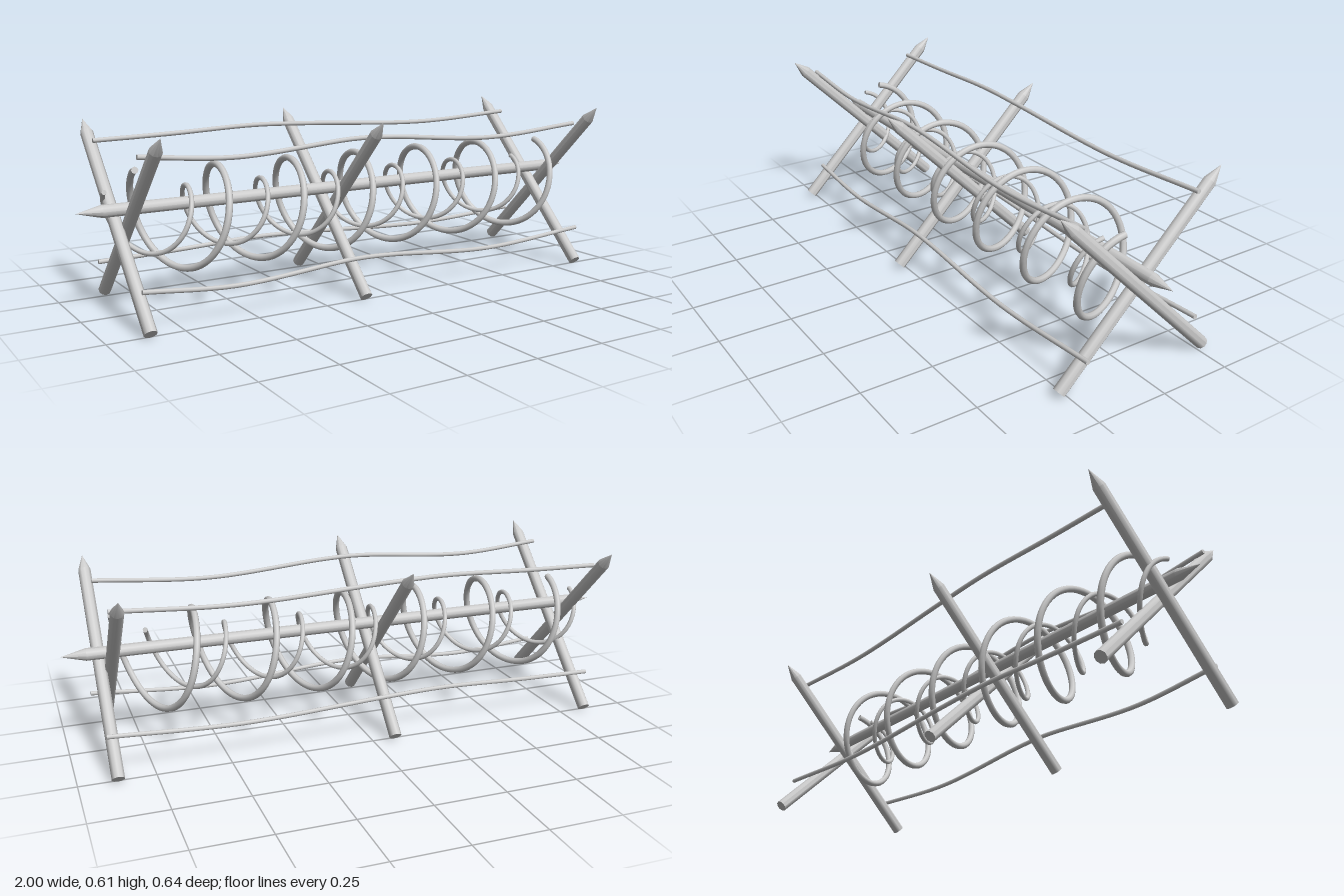
import * as THREE from 'three';
import { toCreasedNormals } from 'three/addons/utils/BufferGeometryUtils.js';

const material = new THREE.MeshStandardMaterial({ color: 0xcccccc });

function addMesh(parent, name, geometry) {
  const mesh = new THREE.Mesh(geometry, material);
  mesh.name = name;
  parent.add(mesh);
  return mesh;
}

// Round stake along +y from the origin, sharpened at one or both ends
function stakeGeometry(length, radius, tip, bothEnds) {
  const profile = [
    [0, 0], [radius, bothEnds ? tip : 0], [radius, length - tip], [0, length],
  ].map(([r, y]) => new THREE.Vector2(r, y));
  return toCreasedNormals(new THREE.LatheGeometry(profile, 10), 0.65);
}

// Tube along a curve with closed ends
function addCappedTube(parent, name, curve, segments, radius, sides) {
  const group = new THREE.Group();
  group.name = name;
  parent.add(group);
  addMesh(group, name + 'Tube', new THREE.TubeGeometry(curve, segments, radius, sides));
  for (const t of [0, 1]) {
    const cap = addMesh(group, name + 'End', new THREE.CircleGeometry(radius, sides));
    const outward = curve.getTangentAt(t).multiplyScalar(t ? 1 : -1);
    cap.position.copy(curve.getPointAt(t));
    cap.quaternion.setFromUnitVectors(new THREE.Vector3(0, 0, 1), outward);
  }
}

// Coil around the x axis, its loops leaning so the tops look pointed
class CoilCurve extends THREE.Curve {
  constructor(startX, radius) {
    super();
    this.startX = startX;
    this.radius = radius;
    this.arcLengthDivisions = 600;
  }
  getPoint(t, target = new THREE.Vector3()) {
    const pitch = 0.2707, turns = 6, lean = 0.027, trim = 0.2;
    const a = trim + t * (turns * Math.PI * 2 - 2 * trim);
    return target.set(
      this.startX + (pitch * a) / (Math.PI * 2) - lean * Math.sin(a),
      0.299 + this.radius * Math.cos(a),
      0.002 - this.radius * Math.sin(a),
    );
  }
}

export function createModel() {
  const model = new THREE.Group();
  model.name = 'wireBarricade';

  // Three pairs of crossed, sharpened posts
  const postGeometry = stakeGeometry(0.835, 0.0215, 0.061, false);
  for (const x of [-0.87, -0.11, 0.84]) {
    const pair = new THREE.Group();
    pair.name = 'crossedPosts';
    for (const side of [-1, 1]) {
      const post = addMesh(pair, side < 0 ? 'backLeaningPost' : 'frontLeaningPost', postGeometry);
      post.position.set(side < 0 ? x : x + 0.035, 0.0155, -side * 0.272);
      post.rotation.x = side * Math.PI / 4;
    }
    model.add(pair);
  }

  // Long pole resting in the crossings
  const pole = addMesh(model, 'crossPole', stakeGeometry(2, 0.021, 0.082, true));
  pole.position.set(1, 0.348, 0.003);
  pole.rotation.z = Math.PI / 2;

  // Two coils of wire around the pole
  addCappedTube(model, 'largeCoil', new CoilCurve(-0.797, 0.167), 300, 0.0118, 8);
  addCappedTube(model, 'smallCoil', new CoilCurve(-0.904, 0.106), 300, 0.0083, 8);

  // Slack wires strung along the posts, upper and lower on each side
  const wires = [
    { name: 'FrontWire', z: 0.212, path: [[-0.87, 0.541], [-0.55, 0.517], [-0.12, 0.546], [0.02, 0.543], [0.45, 0.513], [0.86, 0.54]] },
    { name: 'BackWire', z: -0.213, path: [[-0.87, 0.543], [-0.6, 0.549], [-0.28, 0.56], [-0.05, 0.553], [0.45, 0.531], [0.86, 0.55]] },
  ];
  for (const { name, z, path } of wires) {
    for (const level of ['upper', 'lower']) {
      const low = level === 'lower';
      const points = path.map(([x, y]) =>
        new THREE.Vector3(low && x > 0.8 ? x + 0.035 : x, low ? y - 0.411 : y, z));
      addCappedTube(model, level + name, new THREE.CatmullRomCurve3(points), 40, 0.008, 8);
    }
  }
  return model;
}
